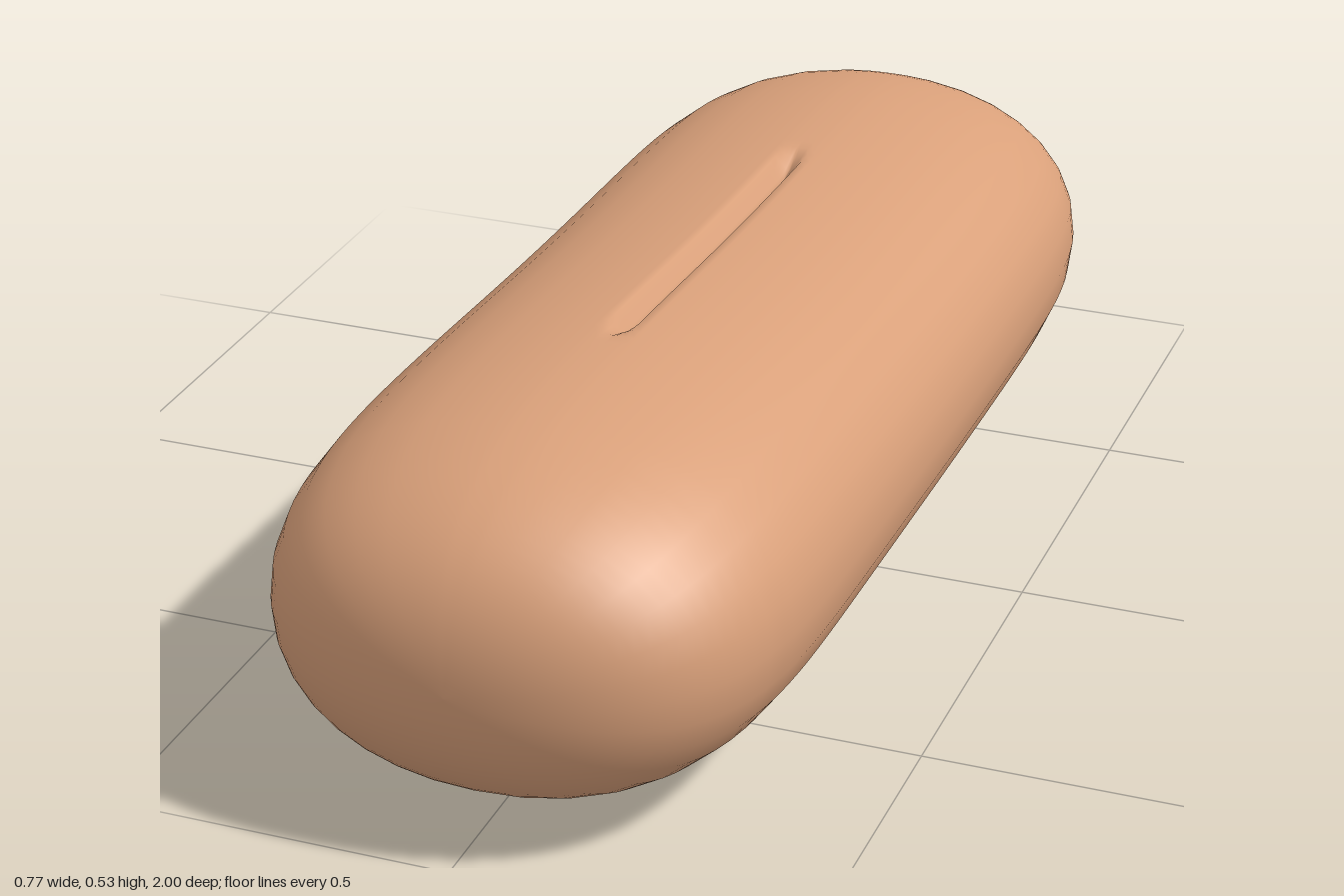
import * as THREE from 'three';

const HALF_WIDTH = 0.383, SIDES = 32;

// signed power, for superelliptic curves
const spow = (v, p) => Math.sign(v) * Math.abs(v) ** p;

// loaf stations from back to front: [z, scale of the section]
function stations() {
  const half = [];
  for (let i = 1; i <= 28; i++) {
    const z = i * 0.025;
    half.push([z, (1 - z ** 7) ** (1 / 2.2)]);
  }
  const start = Math.asin(0.7 ** 3.5);
  for (let i = 1; i <= 20; i++) {
    const t = start + (Math.PI / 2 - start) * i / 20;
    half.push([Math.sin(t) ** (2 / 7), Math.max(Math.cos(t), 0) ** (1 / 1.1)]);
  }
  return [...half.map(([z, r]) => [-z, r]).reverse(), [0, 1], ...half];
}

// angles round the section, with extra ones at the top for the slit
function sectionAngles() {
  const angles = [];
  for (let i = 0; i < SIDES; i++) angles.push(i / SIDES * Math.PI * 2);
  for (const x of [0.004, 0.008, 0.014, 0.022, 0.035]) {
    const d = Math.asin((x / HALF_WIDTH) ** 1.07);
    angles.push(Math.PI / 2 - d, Math.PI / 2 + d);
  }
  return angles.sort((a, b) => a - b);
}

// depth of the slit cut along the top
function slit(x, z) {
  const along = 1 - THREE.MathUtils.smoothstep(Math.abs(z), 0.32, 0.41);
  const across = Math.max(0, 1 - Math.abs(x) / 0.022);
  return 0.028 * along * across;
}

export function createModel() {
  const group = new THREE.Group();
  group.name = 'breadRoll';

  const rings = stations(), angles = sectionAngles(), n = angles.length;
  const positions = [], index = [];
  rings.forEach(([z, r], i) => {
    // the front end is a little taller than the back
    const h = (0.514 + 0.021 * Math.tanh((z - 0.17) * 2.7)) / 2;
    angles.forEach((a, j) => {
      const x = HALF_WIDTH * r * spow(Math.cos(a), 0.935);
      let y = h + h * r * spow(Math.sin(a), 0.935);
      if (Math.sin(a) > 0) y -= slit(x, z);
      positions.push(x, y, z);
      if (i < rings.length - 1) {
        const k = (j + 1) % n, p = i * n, q = p + n;
        index.push(p + j, p + k, q + j, p + k, q + k, q + j);
      }
    });
  });

  const geometry = new THREE.BufferGeometry();
  geometry.setAttribute('position', new THREE.Float32BufferAttribute(positions, 3));
  geometry.setIndex(index);
  geometry.computeVertexNormals();

  const loaf = new THREE.Mesh(geometry, new THREE.MeshStandardMaterial({ color: 0xd9a07a }));
  loaf.name = 'loaf';
  group.add(loaf);
  return group;
}
